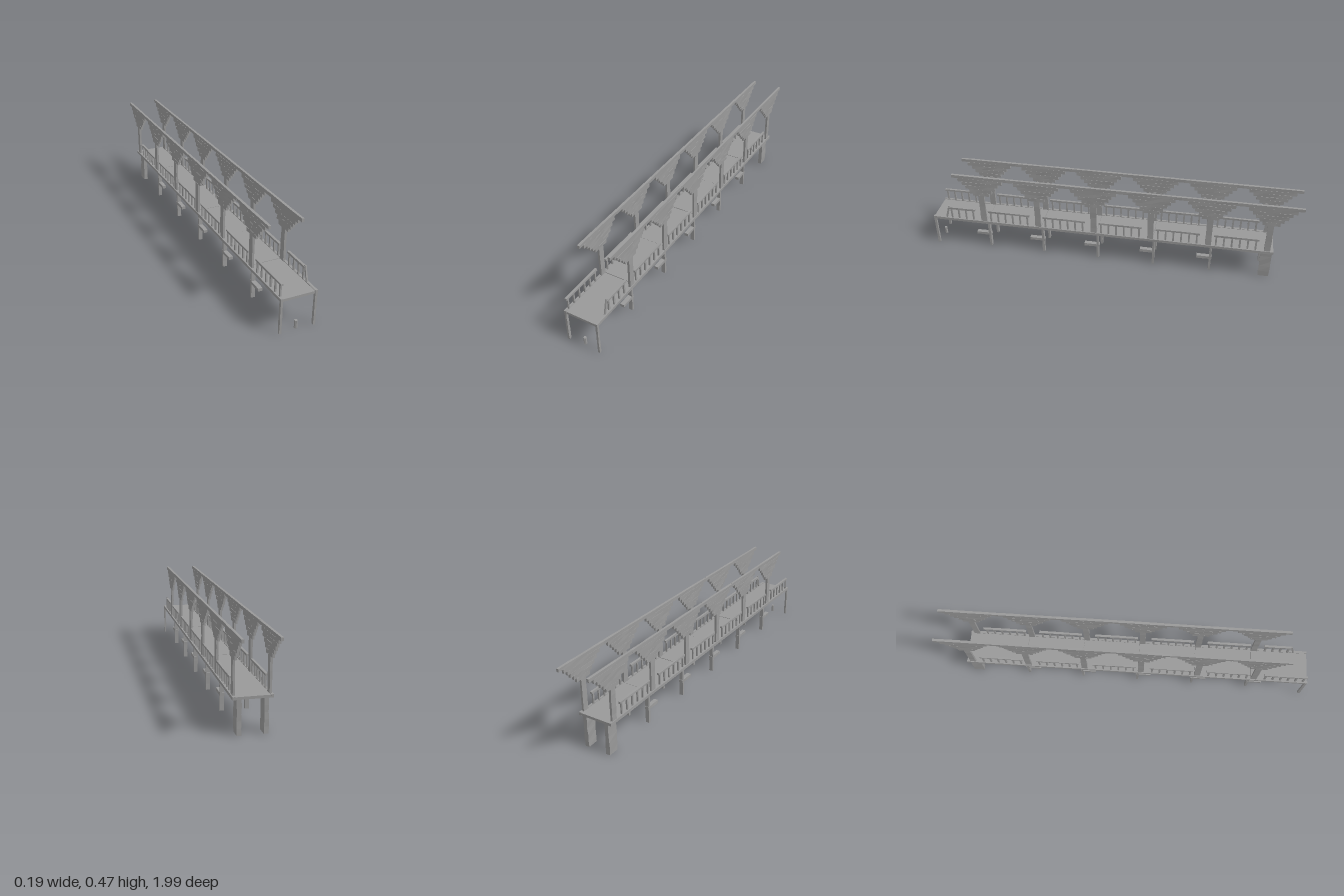
import * as THREE from 'three';

const stone = new THREE.MeshStandardMaterial({ color: 0x999999, flatShading: true });
stone.name = 'weathered grey';

// Seeded random in -1..1
let seed = 7;
const rand = () => {
  seed = (seed * 16807) % 2147483647;
  return (seed / 2147483647) * 2 - 1;
};

// Box from min to max; 'rough' nudges the rings of corners along the long axis
function block(parent, name, [x0, x1], [y0, y1], [z0, z1], rough = 0, cuts = 4) {
  const size = [x1 - x0, y1 - y0, z1 - z0];
  const axis = size.indexOf(Math.max(...size));
  const seg = [1, 1, 1];
  if (rough) seg[axis] = cuts;
  const geo = new THREE.BoxGeometry(...size, ...seg);
  if (rough) {
    const pos = geo.attributes.position;
    const moved = new Map();
    for (let i = 0; i < pos.count; i++) {
      const p = [pos.getX(i), pos.getY(i), pos.getZ(i)];
      const key = p.map((v) => v.toFixed(4)).join();
      if (!moved.has(key)) moved.set(key, [rand() * rough, rand() * rough]);
      const d = moved.get(key);
      p[(axis + 1) % 3] += d[0];
      p[(axis + 2) % 3] += d[1];
      pos.setXYZ(i, ...p);
    }
    geo.computeVertexNormals();
  }
  const mesh = new THREE.Mesh(geo, stone);
  mesh.name = name;
  mesh.position.set((x0 + x1) / 2, (y0 + y1) / 2, (z0 + z1) / 2);
  parent.add(mesh);
  return mesh;
}

// Range centred on c
const span = (c, w) => [c - w / 2, c + w / 2];

export function createModel() {
  seed = 7;
  const model = new THREE.Group();
  model.name = 'colonnade bridge';
  const pitch = 0.309;
  const bays = 6;
  const firstColumn = 0.699;

  // Deck panels, meeting at narrow seams
  const seams = [0.992, 0.685, 0.375, 0.066, -0.243, -0.552, -0.88];
  for (let i = 0; i < bays; i++) {
    const lift = i % 2 ? 0.001 : 0;
    block(model, 'deckPanel', [-0.082, 0.082], [0.167 + lift, 0.18 + lift],
      [seams[i + 1] + 0.001, seams[i] - 0.001]);
  }

  for (const side of [-1, 1]) {
    const x = side * 0.083;
    const half = new THREE.Group();
    half.name = side > 0 ? 'leftSide' : 'rightSide';
    model.add(half);

    // Edge beam along the deck
    block(half, 'deckEdge', span(side * 0.0865, 0.013), [0.168, 0.183], [-0.88, 0.993], 0.0006, 18);

    for (let i = 0; i < bays; i++) {
      const z = firstColumn - i * pitch;

      // Column with a stepped capital and its length of top beam
      block(half, 'column', span(x, 0.011), [0.178, 0.352], span(z, 0.032), 0.001, 5);
      const widths = [0.09, 0.125, 0.165, 0.2, 0.245];
      widths.forEach((w, k) =>
        block(half, 'capitalStep', span(x, 0.0115), [0.35 + k * 0.0205, 0.37 + k * 0.0205],
          span(z, w), 0.0008));
      block(half, 'topBeam', span(x, 0.013), [0.453, 0.47], span(z, pitch), 0.0006);

      // Railing before each column; the first one on the left side is broken short
      const broken = i === 0 && side > 0;
      const back = z + 0.047;
      const front = broken ? 0.9 : z + 0.282;
      block(half, 'handrail', span(x, 0.012), [0.241, 0.252], [back, front], 0.0008);
      for (let k = 0; k < (broken ? 4 : 6); k++) {
        block(half, 'baluster', span(x, 0.008), [0.178, 0.243],
          span(back + 0.014 + k * 0.0415, 0.009), 0.0005, 3);
      }
    }

    // Front legs
    block(half, 'frontLeg', span(side * 0.0865, 0.0105), [0, 0.17], span(0.986, 0.013), 0.001, 6);

    // Supports below the seams, each with a short forward bar
    const sx = side * 0.062;
    for (const z of seams.slice(1, 6)) {
      block(half, 'support', span(sx, 0.021), [0, 0.168], span(z - 0.003, 0.012), 0.001, 5);
      block(half, 'supportBar', span(sx, 0.022), [0.076, 0.092], [z - 0.012, z + 0.071], 0.0008);
    }

    // Broad rear legs
    block(half, 'rearLeg', span(sx, 0.021), [0, 0.168], span(-0.847, 0.058), 0.0015, 5);
  }

  // Leaning loose baluster at the broken railing
  const loose = block(model, 'looseBaluster', span(0.083, 0.008), [0.179, 0.259], span(0.907, 0.009), 0.0005, 3);
  loose.rotation.x = -0.28;

  // Small stump under the front edge
  const stump = new THREE.Mesh(new THREE.CylinderGeometry(0.008, 0.008, 0.041, 6, 2), stone);
  stump.name = 'stump';
  stump.position.set(0, 0.0205, 0.977);
  model.add(stump);

  return model;
}
